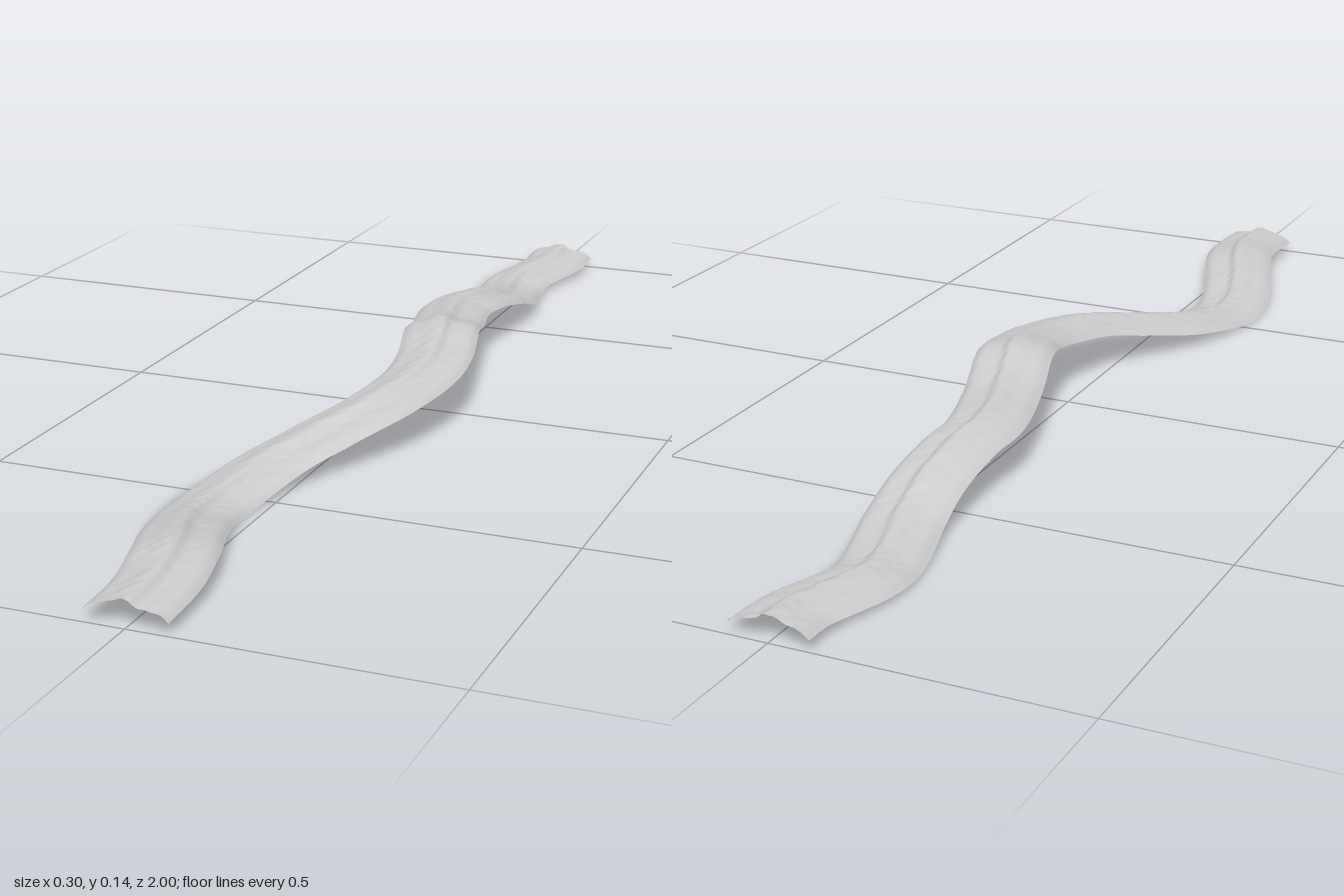
import * as THREE from 'three';

const spline = (pts) => new THREE.CatmullRomCurve3(pts.map((p) => new THREE.Vector3(...p)), false, 'centripetal');

export function createModel() {
  const group = new THREE.Group();

  // Winding centre line along the foot of the ridge, back to front: x, y, z
  const path = spline([
    [0, 0.02, -1], [0, 0.016, -0.93], [-0.032, 0.01, -0.8], [-0.028, 0.006, -0.73], [0, 0.026, -0.6],
    [0.004, 0.052, -0.52], [0, 0.074, -0.42], [-0.004, 0.08, -0.34], [0.025, 0.09, -0.21], [0.055, 0.117, -0.1],
    [0.078, 0.1, 0], [0.08, 0.087, 0.08], [0.052, 0.07, 0.2], [-0.005, 0.045, 0.31], [-0.055, 0.022, 0.41],
    [-0.084, 0.002, 0.54], [-0.08, 0.006, 0.62], [-0.055, 0.022, 0.71], [-0.02, 0.034, 0.81], [-0.002, 0.027, 0.9],
    [0, 0.02, 1],
  ]);

  // Cross-section: sideways offset and height, with a crest and a shallow gutter beside it
  const section = spline([
    [-0.067, 0, 0], [-0.052, 0.011, 0], [-0.032, 0.017, 0], [-0.01, 0.025, 0], [0.005, 0.026, 0],
    [0.018, 0.016, 0], [0.034, 0.014, 0], [0.055, 0.01, 0], [0.067, 0, 0],
  ]);

  // Sweep the section along the path, with a fine rocky unevenness
  const geo = new THREE.PlaneGeometry(1, 1, 24, 220);
  const pos = geo.attributes.position;
  for (let i = 0; i < pos.count; i++) {
    const u = pos.getX(i) + 0.5, v = 0.5 - pos.getY(i);
    const c = path.getPoint(v), t = path.getTangent(v), s = section.getPoint(u);
    const len = Math.hypot(t.x, t.z);
    const rough = 0.0012 * Math.sin(u * 17 + Math.sin(v * 90) * 2) * Math.sin(v * 210 + u * 9)
      + 0.0007 * Math.sin(u * 41 - v * 330);
    pos.setXYZ(i,
      c.x + (s.x * t.z) / len,
      Math.max(0, c.y + s.y + rough * Math.sin(Math.PI * u)),
      THREE.MathUtils.clamp(c.z - (s.x * t.x) / len, -1, 1));
  }
  geo.computeVertexNormals();

  const ridge = new THREE.Mesh(geo, new THREE.MeshStandardMaterial({ color: 0xcccccc, side: THREE.DoubleSide }));
  ridge.name = 'windingRidge';
  group.add(ridge);
  return group;
}
